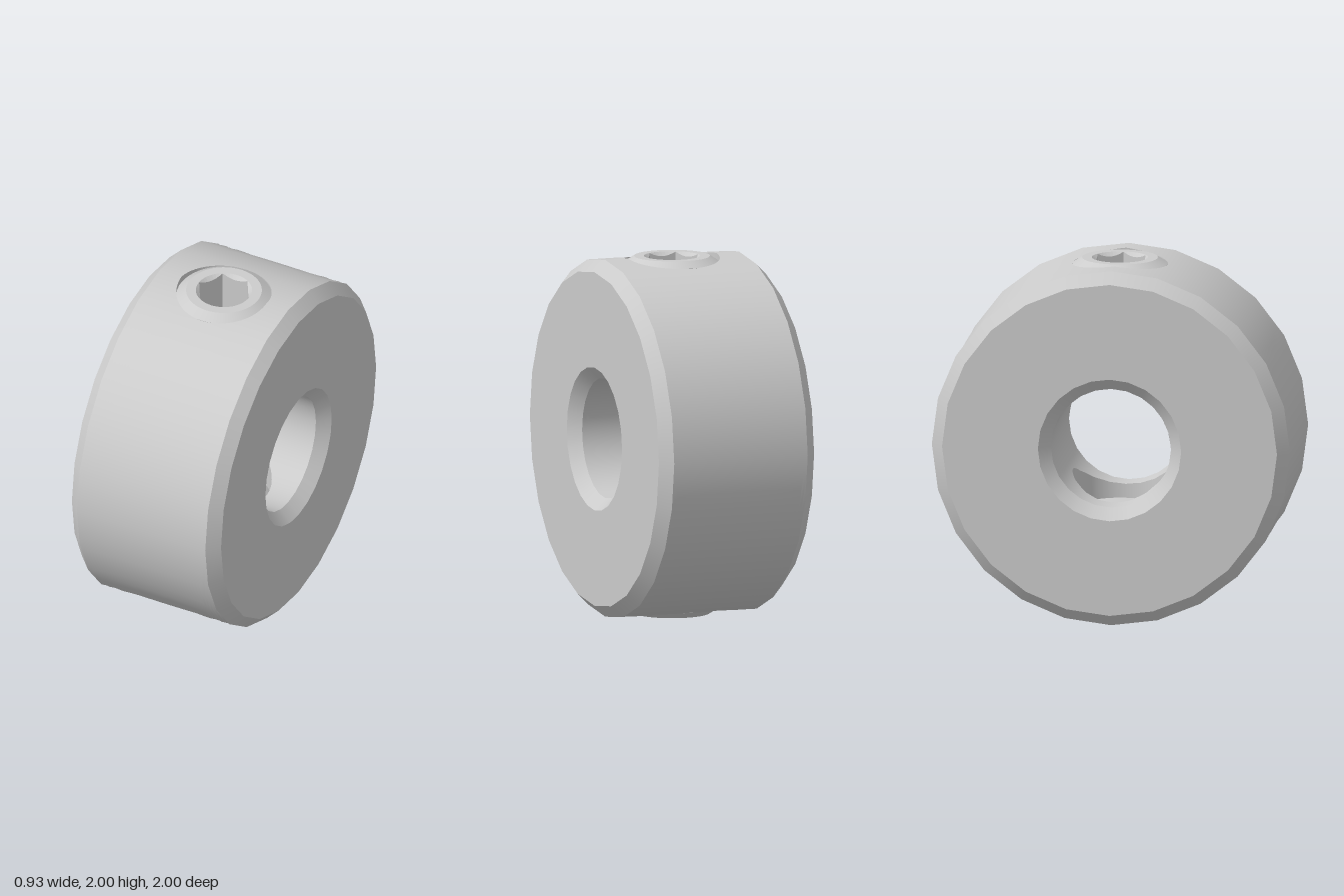
import * as THREE from 'three';

const SIDES = 24, AROUND = 96;
const R_OUT = 1, R_BORE = 0.335, R_HOLE = 0.265, HALF = 0.4, CHAMFER = 0.065;

const smooth = new THREE.MeshStandardMaterial({ color: 0xcccccc });
const faceted = new THREE.MeshStandardMaterial({ color: 0xcccccc, flatShading: true });

function addMesh(parent, name, geometry, material = smooth) {
  const mesh = new THREE.Mesh(geometry, material);
  mesh.name = name;
  parent.add(mesh);
  return mesh;
}

// Skin over a list of closed loops with equal point counts
function loft(loops, flip = false) {
  const n = loops[0].length, index = [];
  for (let r = 0; r < loops.length - 1; r++) {
    for (let i = 0; i < n; i++) {
      const a = r * n + i, b = r * n + (i + 1) % n, c = a + n, d = b + n;
      if (flip) index.push(a, b, c, b, d, c);
      else index.push(a, c, b, b, c, d);
    }
  }
  const geometry = new THREE.BufferGeometry().setFromPoints(loops.flat());
  geometry.setIndex(index);
  geometry.computeVertexNormals();
  return geometry;
}

function loop(n, pointAt) {
  return Array.from({ length: n }, (_, i) => pointAt((i / n) * Math.PI * 2));
}

// Point on a many-sided cylinder around the x axis; angle 0 is straight up
function onCylinder(radius, x, angle) {
  const step = (Math.PI * 2) / SIDES;
  const within = angle - Math.floor(angle / step) * step - step / 2;
  const r = (radius * Math.cos(step / 2)) / Math.cos(within);
  return new THREE.Vector3(x, r * Math.cos(angle), r * Math.sin(angle));
}

// Rim of the screw hole where it meets a cylinder, blended (k = 0..1) to a half-cylinder border
function patchLoop(radius, k) {
  return loop(AROUND, (t) => {
    const x0 = R_HOLE * Math.cos(t), a0 = Math.asin((R_HOLE * Math.sin(t)) / radius);
    const quarter = Math.floor((t + Math.PI / 4 + 1e-9) / (Math.PI / 2)) % 4;
    let u = (t - quarter * (Math.PI / 2)) / (Math.PI / 4);
    if (u > 4) u -= 8;
    const [sx, sa] = [[1, u], [-u, 1], [-1, -u], [u, -1]][quarter];
    return onCylinder(radius, x0 + (sx * HALF - x0) * k, a0 + (sa * Math.PI / 2 - a0) * k);
  });
}

// Half of a cylinder wall with the screw hole cut through it
function piercedHalf(radius, outward) {
  const rings = 14;
  const loops = Array.from({ length: rings + 1 }, (_, r) => patchLoop(radius, r / rings));
  const geometry = loft(loops, outward);
  const pos = geometry.attributes.position, normal = geometry.attributes.normal;
  const sign = outward ? 1 : -1;
  for (let i = 0; i < pos.count; i++) {
    const y = pos.getY(i), z = pos.getZ(i), len = Math.hypot(y, z) * sign;
    normal.setXYZ(i, 0, y / len, z / len);
  }
  return geometry;
}

// One turned band per profile segment, so the edges between them stay sharp
function turned(parent, name, profile, sides) {
  for (let i = 0; i < profile.length - 1; i++) {
    const pts = [profile[i], profile[i + 1]].map(([r, y]) => new THREE.Vector2(r, y));
    addMesh(parent, name, new THREE.LatheGeometry(pts, sides));
  }
}

function setScrew() {
  const screw = new THREE.Group();
  // Threaded body with chamfered ends
  turned(screw, 'screwBody', [[0, 0.4], [0.2, 0.4], [0.264, 0.45], [0.264, 0.965], [0.21, 1]], 48);

  // Top rim, countersink and hexagonal socket
  const circle = (r, y) => loop(48, (t) => new THREE.Vector3(r * Math.cos(t), y, r * Math.sin(t)));
  const hex = (height) => loop(48, (t) => {
    const sixth = Math.PI / 3;
    const r = 0.134 / Math.cos((t + 1e-9) % sixth - sixth / 2);
    return new THREE.Vector3(r * Math.cos(t), height(r), r * Math.sin(t));
  });
  const socket = [circle(0.21, 1), circle(0.156, 1), hex((r) => 1 - (0.156 - r)), hex(() => 0.72), circle(0, 0.72)];
  addMesh(screw, 'hexSocket', loft(socket), faceted);
  return screw;
}

export function createModel() {
  const model = new THREE.Group();
  model.name = 'shaftCollar';
  const collar = new THREE.Group();
  collar.position.y = 1;
  model.add(collar);

  // Upper and lower halves, each with a screw hole and its screw
  for (const side of ['upper', 'lower']) {
    const half = new THREE.Group();
    half.name = side + 'Half';
    addMesh(half, 'outerWall', piercedHalf(R_OUT, true));
    addMesh(half, 'boreWall', piercedHalf(R_BORE, false));
    addMesh(half, 'screwHole', loft([patchLoop(R_BORE, 0), patchLoop(R_OUT, 0)], true));
    const screw = setScrew();
    screw.name = side + 'SetScrew';
    half.add(screw);
    if (side === 'lower') half.rotation.x = Math.PI;
    collar.add(half);
  }

  // End faces with outer and bore chamfers
  const end = HALF + CHAMFER;
  for (const dir of [-1, 1]) {
    const face = new THREE.Group();
    face.name = dir > 0 ? 'leftEnd' : 'rightEnd';
    turned(face, 'endFace', [[R_OUT, HALF], [R_OUT - CHAMFER, end], [R_BORE + CHAMFER, end], [R_BORE, HALF]], SIDES);
    face.rotation.z = (-dir * Math.PI) / 2;
    collar.add(face);
  }
  return model;
}
